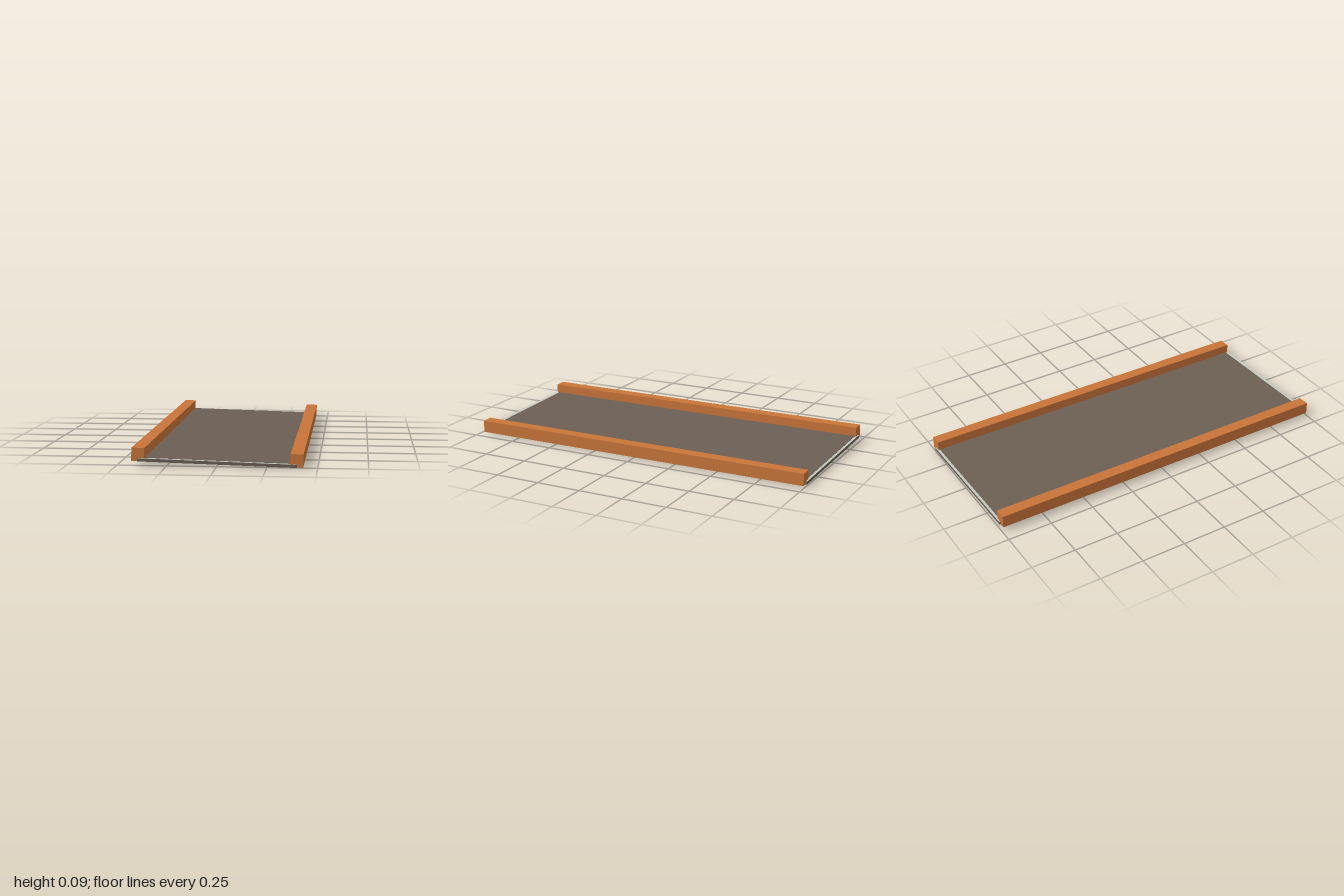
import * as THREE from 'three';

export function createModel() {
  const timber = new THREE.MeshStandardMaterial({ name: 'orangeTimber', color: 0xc87438 });
  const board = new THREE.MeshStandardMaterial({ name: 'brownBoard', color: 0x6c5e53 });
  const edge = new THREE.MeshStandardMaterial({ name: 'paleEdge', color: 0xc3c8c0 });

  const model = new THREE.Group();
  model.name = 'railedDeck';

  // Slightly tilted panel: lower on its left side, higher at the back
  const panel = new THREE.Group();
  panel.name = 'tiltedPanel';
  panel.position.y = 0.014;
  panel.rotation.set(0.003, 0, -0.0255);
  model.add(panel);

  // Box placed by the centre of its underside
  const addBox = (name, material, size, x, bottom, z) => {
    const mesh = new THREE.Mesh(new THREE.BoxGeometry(...size), material);
    mesh.name = name;
    mesh.position.set(x, bottom + size[1] / 2, z);
    panel.add(mesh);
  };

  // Deck slab with its walking surface
  addBox('deckSlab', board, [0.795, 0.0155, 2], 0, -0.0005, 0);
  addBox('deckSurface', board, [0.73, 0.002, 1.968], 0, 0.015, -0.002);

  // Side rails and pale strips across both ends
  for (const side of [1, -1]) {
    addBox(side > 0 ? 'leftRail' : 'rightRail', timber, [0.065, 0.067, 1.986], side * 0.3965, 0, 0);
    const depth = side > 0 ? 0.018 : 0.014;
    addBox(side > 0 ? 'frontEdgeStrip' : 'backEdgeStrip', edge,
      [0.79, 0.001, depth], 0, 0.015, side * (1 - depth / 2));
  }

  return model;
}
